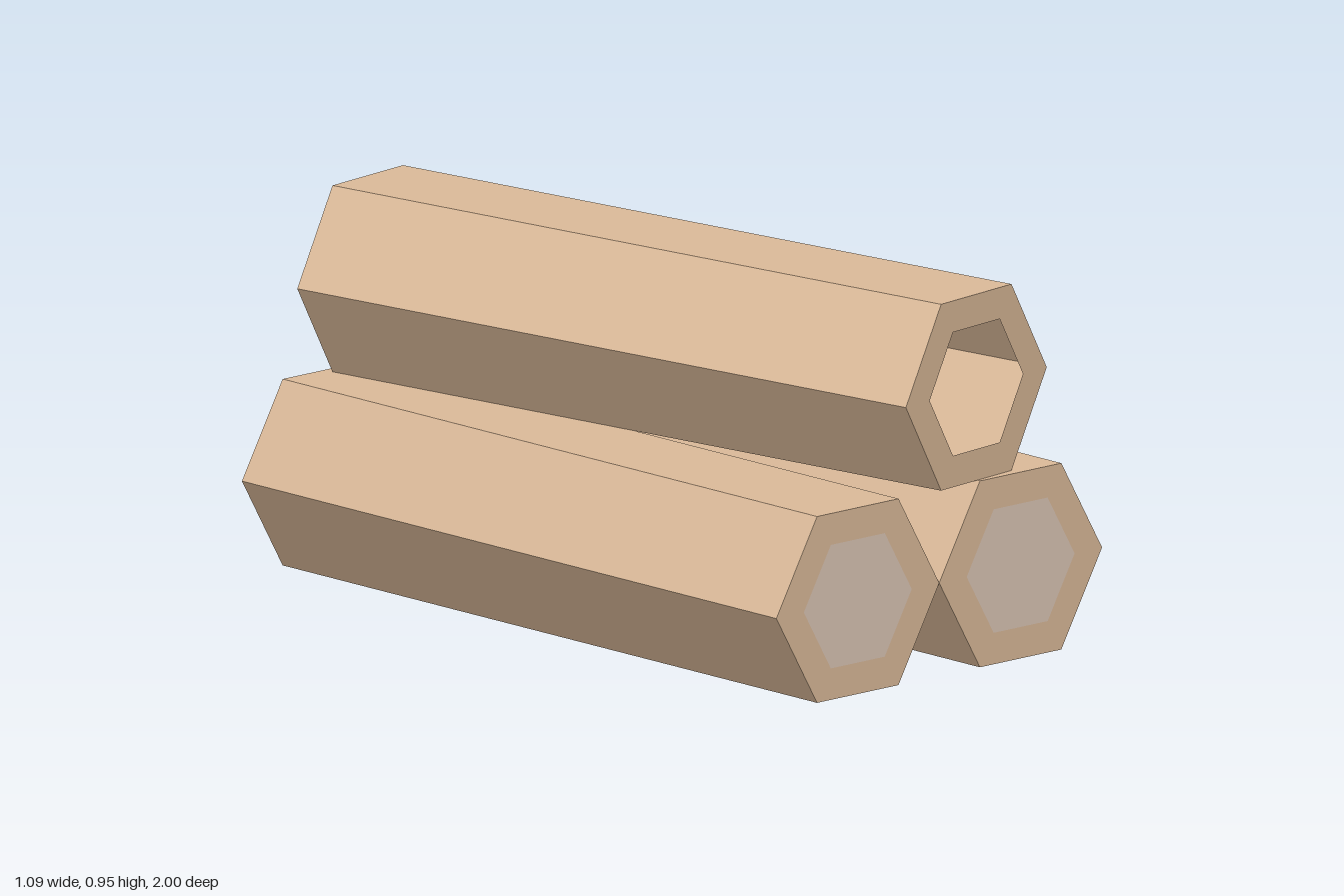
import * as THREE from 'three';

const R = 0.273;      // outer hexagon radius
const CORE = 0.181;   // radius of the pale core on each end
const APOTHEM = R * Math.cos(Math.PI / 6);

export function createModel() {
  const wood = new THREE.MeshStandardMaterial({ color: 0xdbba99, flatShading: true, side: THREE.DoubleSide });
  wood.name = 'wood';
  const paleCore = new THREE.MeshStandardMaterial({ color: 0xdbc5b4, flatShading: true, side: THREE.DoubleSide });
  paleCore.name = 'paleCore';

  // Hexagonal shell along z, corners pointing to +x and -x
  const makeLog = (name, length, openFront) => {
    const log = new THREE.Group();
    log.name = name;
    const add = (part, geometry, material) => {
      const mesh = new THREE.Mesh(geometry, material);
      mesh.name = part;
      log.add(mesh);
      return mesh;
    };
    const bark = new THREE.CylinderGeometry(R, R, length, 6, 1, true, Math.PI / 6);
    add('bark', bark.rotateX(Math.PI / 2), wood);

    // Both ends: a wooden rim around a pale core
    for (const end of [1, -1]) {
      const side = end > 0 ? 'front' : 'back';
      const parts = [add(side + 'Rim', new THREE.RingGeometry(CORE, R, 6), wood)];
      if (!(end > 0 && openFront)) {
        parts.push(add(side + 'Core', new THREE.CircleGeometry(CORE, 6), paleCore));
      }
      for (const p of parts) {
        p.position.z = end * length / 2;
        if (end < 0) p.rotation.y = Math.PI;
      }
    }
    return log;
  };

  const model = new THREE.Group();
  model.name = 'logPile';

  // Two logs side by side on the ground
  for (const s of [1, -1]) {
    const log = makeLog(s > 0 ? 'leftLog' : 'rightLog', 1.944, false);
    log.position.set(s * R, APOTHEM, 0);
    model.add(log);
  }

  // Third log laid askew on top, hollow at the front
  const top = makeLog('topLog', 1.944, true);
  top.position.y = APOTHEM * 3;
  top.rotation.y = 0.137;
  model.add(top);

  return model;
}
